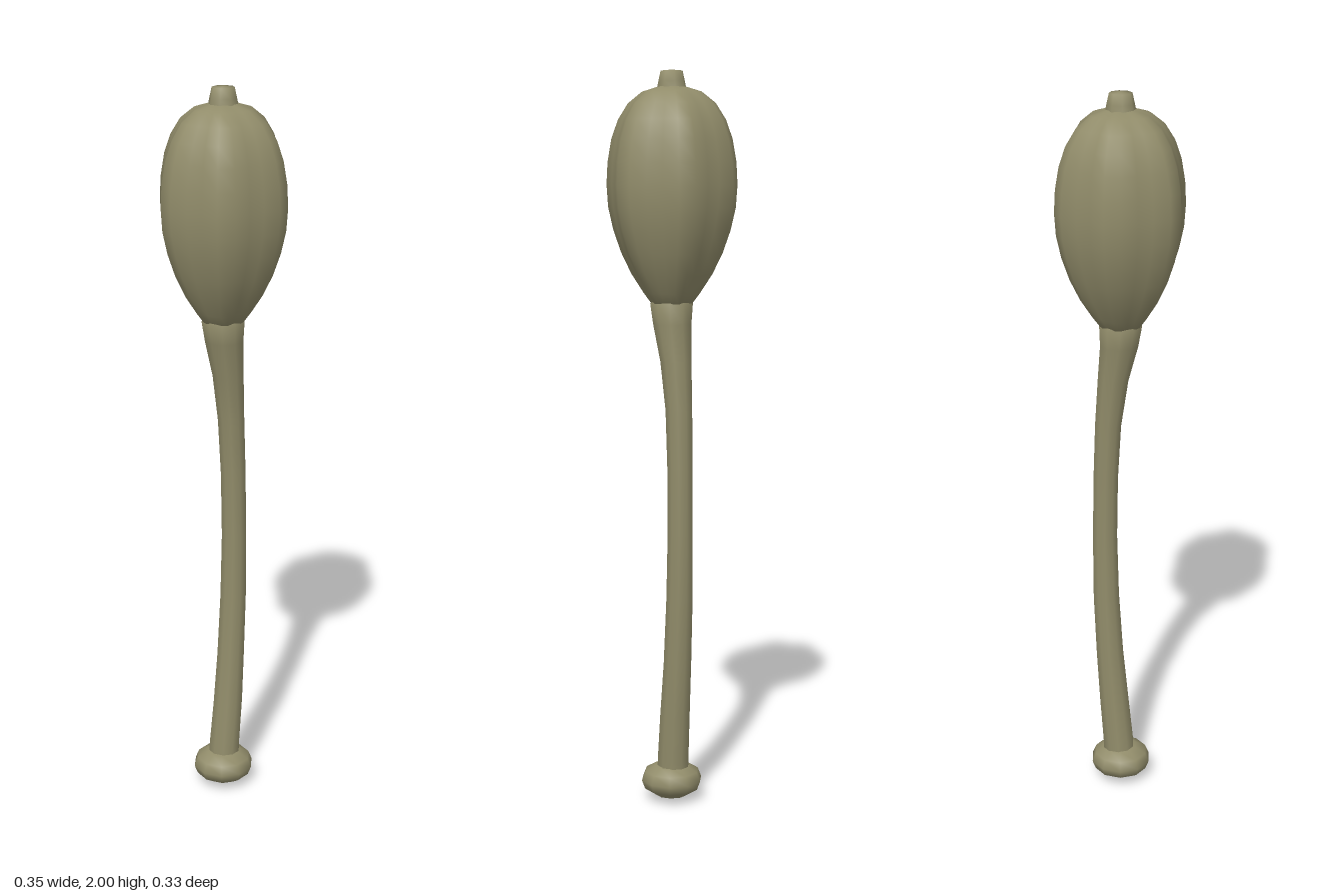
import * as THREE from 'three';
import { mergeVertices } from 'three/addons/utils/BufferGeometryUtils.js';

const olive = new THREE.MeshStandardMaterial({ color: 0x918c6a });
olive.name = 'dried olive';

// Lathe from [radius, y] points, with an optional rule that moves each vertex
function turned(name, profile, sides, move) {
  const points = profile.map(([r, y]) => new THREE.Vector2(r, y));
  let geometry = new THREE.LatheGeometry(points, sides);
  geometry.deleteAttribute('uv');
  geometry.deleteAttribute('normal');
  geometry = mergeVertices(geometry, 1e-5);
  if (move) {
    const pos = geometry.attributes.position;
    const v = new THREE.Vector3();
    for (let i = 0; i < pos.count; i++) {
      move(v.fromBufferAttribute(pos, i));
      pos.setXYZ(i, v.x, v.y, v.z);
    }
  }
  geometry.computeVertexNormals();
  const mesh = new THREE.Mesh(geometry, olive);
  mesh.name = name;
  return mesh;
}

export function createModel() {
  const group = new THREE.Group();
  group.name = 'seedPodStalk';

  // Swollen foot
  group.add(turned('foot', [
    [0, 0], [0.045, 0.014], [0.076, 0.034], [0.085, 0.058],
    [0.075, 0.083], [0.045, 0.1], [0, 0.105],
  ], 10));

  // Bowed stem: each row is [radius, y, centre x, centre z]
  const rows = [
    [0.045, 0.06, 0.003, -0.003], [0.044, 0.12, 0.006, -0.003],
    [0.042, 0.25, 0.019, -0.005], [0.039, 0.4, 0.031, -0.009],
    [0.037, 0.58, 0.041, -0.012], [0.035, 0.76, 0.044, -0.013],
    [0.035, 0.94, 0.041, -0.013], [0.037, 1.1, 0.033, -0.012],
    [0.043, 1.23, 0.02, -0.007], [0.053, 1.33, 0.004, -0.001],
    [0.059, 1.385, 0, 0], [0.04, 1.4, 0, 0],
  ];
  group.add(turned('stem', rows, 10, (v) => {
    const row = rows.find((r) => Math.abs(r[1] - v.y) < 1e-4);
    v.x += row[2];
    v.z += row[3];
  }));

  // Six-ribbed pod
  group.add(turned('pod', [
    [0, 1.375], [0.05, 1.38], [0.074, 1.414], [0.105, 1.464], [0.131, 1.52],
    [0.151, 1.58], [0.164, 1.64], [0.168, 1.7], [0.165, 1.76], [0.155, 1.82],
    [0.138, 1.87], [0.112, 1.913], [0.076, 1.943], [0.035, 1.956], [0, 1.957],
  ], 24, (v) => {
    v.applyAxisAngle(new THREE.Vector3(0, 1, 0), Math.PI / 24);
    const scale = 1 + 0.068 * Math.cos(6 * Math.atan2(v.z, v.x));
    v.x *= scale;
    v.z *= scale;
  }));

  // Blunt tip
  group.add(turned('tip', [[0.041, 1.945], [0.036, 1.97], [0.03, 1.997], [0, 2]], 8));

  return group;
}
